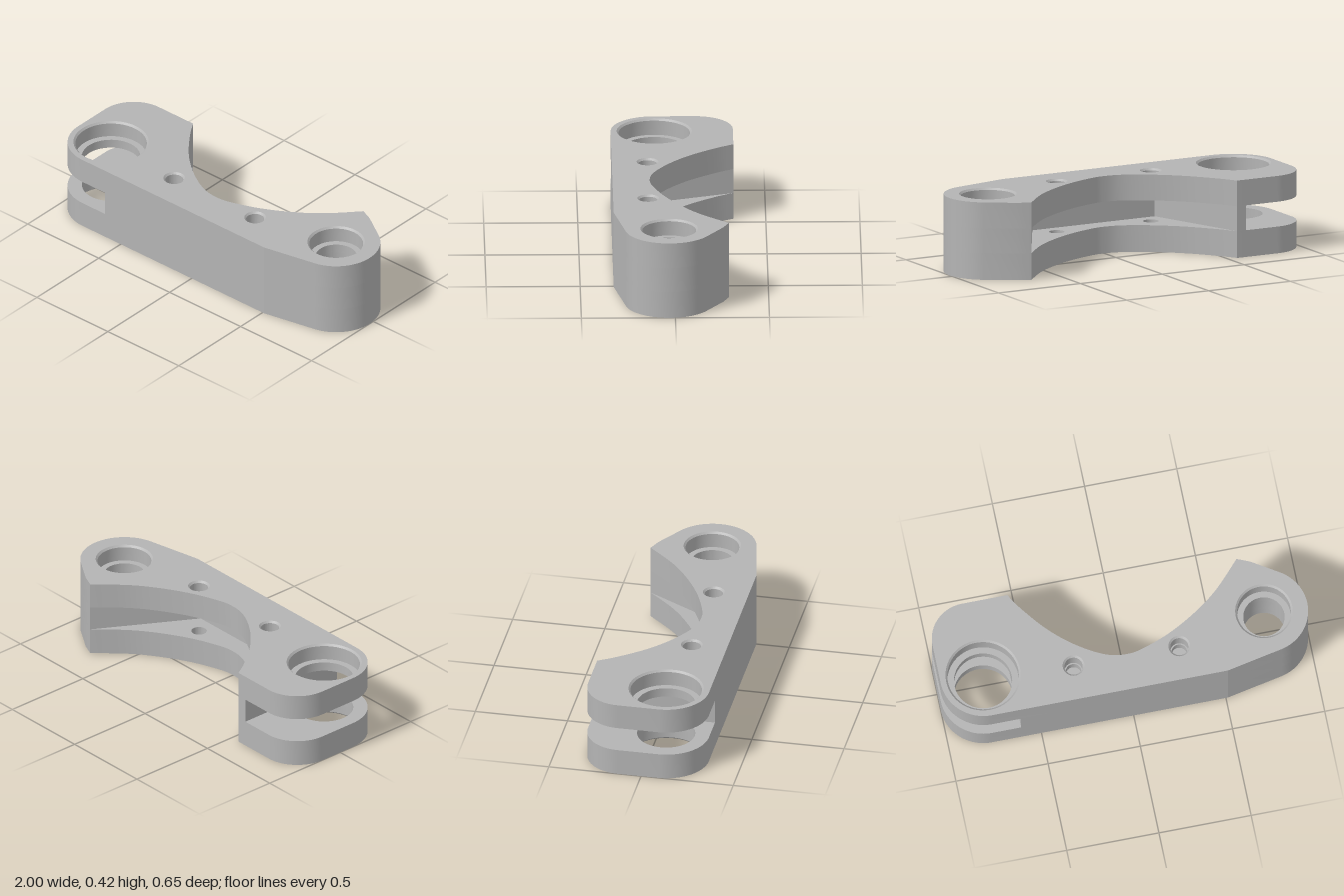
import * as THREE from 'three';
import { toCreasedNormals } from 'three/addons/utils/BufferGeometryUtils.js';

const H = 0.42, SLOT_LOW = 0.145, SLOT_HIGH = 0.28, BORE_DEPTH = 0.09, CHAMFER = 0.01;

const V = (x, z) => new THREE.Vector2(x, z);

// Points on an arc in plan (x, z)
function arc(cx, cz, r, from, to, n = 24) {
  return Array.from({ length: n + 1 }, (_, i) => {
    const t = from + (to - from) * i / n;
    return V(cx + r * Math.cos(t), cz + r * Math.sin(t));
  });
}
const circle = (cx, cz, r) => arc(cx, cz, r, 0, Math.PI * 2, 64).slice(0, -1);

// Side wall between two matching closed loops, facing outward (or inward for holes)
function wall(low, y0, y1, high = low, inward = false) {
  const n = low.length, pos = [], idx = [];
  low.forEach((p, i) => pos.push(p.x, y0, p.y, high[i].x, y1, high[i].y));
  for (let i = 0; i < n; i++) {
    const a = 2 * i, b = 2 * ((i + 1) % n);
    if (inward) idx.push(a, b + 1, a + 1, a, b, b + 1);
    else idx.push(a, a + 1, b + 1, a, b + 1, b);
  }
  const g = new THREE.BufferGeometry();
  g.setAttribute('position', new THREE.Float32BufferAttribute(pos, 3));
  g.setIndex(idx);
  return toCreasedNormals(g, 0.17);
}

// Flat horizontal face with holes
function face(points, holes, y, up) {
  const shape = new THREE.Shape(points);
  shape.holes = holes.map(h => new THREE.Path(h));
  const g = new THREE.ShapeGeometry(shape);
  g.rotateX(Math.PI / 2).translate(0, y, 0);
  if (up) {
    const a = g.index.array;
    for (let i = 0; i < a.length; i += 3) [a[i], a[i + 1]] = [a[i + 1], a[i]];
    g.computeVertexNormals();
  }
  return g;
}

export function createModel() {
  const model = new THREE.Group();
  model.name = 'clampBracket';
  const metal = new THREE.MeshStandardMaterial({ color: 0xb4b4b4 });
  metal.name = 'grey metal';
  const add = (name, geometry, parent = model) => {
    const mesh = new THREE.Mesh(geometry, metal);
    mesh.name = name;
    parent.add(mesh);
  };

  // Plan outline pieces
  const saddle = new THREE.SplineCurve([
    V(-0.555, -0.328), V(-0.5, -0.24), V(-0.395, -0.107), V(-0.29, -0.008), V(-0.18, 0.068),
    V(-0.085, 0.112), V(0, 0.124), V(0.085, 0.112), V(0.245, 0.053), V(0.405, -0.037),
    V(0.54, -0.14), V(0.68, -0.288),
  ]).getPoints(66);
  const rightEnd = [V(0.75, -0.258), ...arc(0.765, 0.03, 0.235, -0.96, 1.35, 36), V(0.51, 0.322)];
  const outline = [
    ...arc(-0.8, -0.128, 0.2, Math.PI, Math.PI * 1.5), ...saddle, ...rightEnd,
    ...arc(-0.77, 0.092, 0.23, Math.PI / 2, Math.PI),
  ];
  // Middle layer: end slot cut off, wedge pocket behind the saddle
  const core = [
    V(-0.61, -0.328), V(-0.555, -0.328), V(-0.367, 0.23), V(0.38, 0.23), V(0.68, -0.288),
    ...rightEnd, V(-0.61, 0.322),
  ];

  // Holes: centre, counterbore radius, through radius
  const holes = [
    { name: 'largeBore', x: -0.77, z: 0.09, outer: 0.19, inner: 0.155 },
    { name: 'mediumBore', x: 0.765, z: 0.03, outer: 0.143, inner: 0.11, throughCore: true },
    { name: 'rightBoltHole', x: -0.288, z: 0.132, outer: 0.048, inner: 0.041 },
    { name: 'leftBoltHole', x: 0.285, z: 0.135, outer: 0.048, inner: 0.041 },
  ];
  const rims = holes.map(h => circle(h.x, h.z, h.outer + CHAMFER));
  const bores = holes.map(h => circle(h.x, h.z, h.inner));

  // Lower and upper plates
  add('lowerPlateEdge', wall(outline, 0, SLOT_LOW));
  add('upperPlateEdge', wall(outline, SLOT_HIGH, H));
  add('bottomFace', face(outline, rims, 0, false));
  add('topFace', face(outline, rims, H, true));
  add('lowerSlotFace', face(outline, bores, SLOT_LOW, true));
  add('upperSlotFace', face(outline, bores, SLOT_HIGH, false));

  // Solid core between the plates
  add('coreWall', wall(core, SLOT_LOW, SLOT_HIGH));

  // Chamfered, stepped holes on both faces
  holes.forEach((h, i) => {
    const g = new THREE.Group();
    g.name = h.name;
    model.add(g);
    const seat = circle(h.x, h.z, h.outer), rim = rims[i], bore = bores[i];
    add('lowerChamfer', wall(rim, 0, CHAMFER, seat, true), g);
    add('lowerCounterbore', wall(seat, CHAMFER, BORE_DEPTH, seat, true), g);
    add('lowerLedge', face(seat, [bore], BORE_DEPTH, false), g);
    add('lowerBore', wall(bore, BORE_DEPTH, SLOT_LOW, bore, true), g);
    if (h.throughCore) add('coreBore', wall(bore, SLOT_LOW, SLOT_HIGH, bore, true), g);
    add('upperBore', wall(bore, SLOT_HIGH, H - BORE_DEPTH, bore, true), g);
    add('upperLedge', face(seat, [bore], H - BORE_DEPTH, true), g);
    add('upperCounterbore', wall(seat, H - BORE_DEPTH, H - CHAMFER, seat, true), g);
    add('upperChamfer', wall(seat, H - CHAMFER, H, rim, true), g);
  });
  return model;
}
